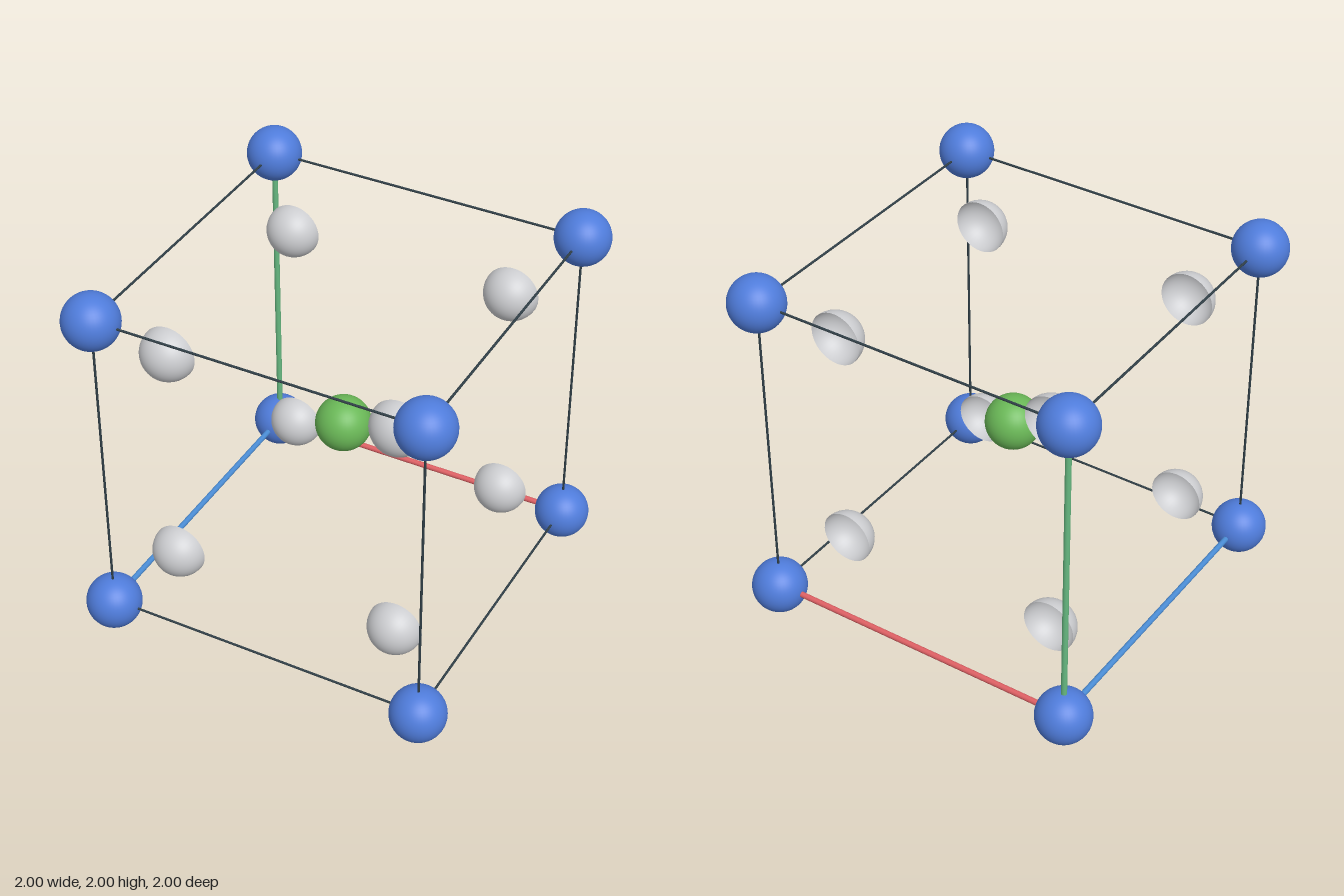
import * as THREE from 'three';

const HALF = 0.858;   // half the cube edge
const SHELL = 0.607;  // offset of the open half shells
const R = 0.142;      // ball radius

const mat = (name, color, side = THREE.FrontSide) => {
  const m = new THREE.MeshStandardMaterial({ color, side });
  m.name = name;
  return m;
};

export function createModel() {
  const model = new THREE.Group();
  model.name = 'cubicLattice';
  const blue = mat('cornerBlue', 0x4f7cdb);
  const green = mat('centreGreen', 0x6ab857);
  const grey = mat('shellGrey', 0xcccdd0, THREE.DoubleSide);
  const dark = mat('edgeDark', 0x2f3e46);
  const axisMats = [
    mat('axisRed', 0xde6064),
    mat('axisGreen', 0x66b880),
    mat('axisBlue', 0x4a8cd4),
  ];

  const add = (name, geometry, material, x, y, z) => {
    const mesh = new THREE.Mesh(geometry, material);
    mesh.name = name;
    mesh.position.set(x, y + 1, z);
    model.add(mesh);
    return mesh;
  };

  // Central ball
  const ball = new THREE.SphereGeometry(R, 40, 28);
  add('centreBall', ball, green, 0, 0, 0);

  // Corner balls, and hollow half shells with domes facing forward
  const shell = new THREE.SphereGeometry(R - 0.001, 40, 14, 0, Math.PI * 2, 0, Math.PI / 2);
  shell.rotateX(Math.PI / 2);
  for (const x of [-1, 1]) for (const y of [-1, 1]) for (const z of [-1, 1]) {
    add('cornerBall', ball, blue, x * HALF, y * HALF, z * HALF);
    add('halfShell', shell, grey, x * SHELL, y * SHELL, z * SHELL);
  }

  // Cube edges; the three that meet at the origin corner are thick coloured axes
  const thin = new THREE.CylinderGeometry(0.006, 0.006, HALF * 2, 12);
  const thick = new THREE.CylinderGeometry(0.015, 0.015, HALF * 2, 16);
  const axisNames = ['xAxisRod', 'yAxisRod', 'zAxisRod'];
  for (let axis = 0; axis < 3; axis++) {
    for (const a of [-1, 1]) for (const b of [-1, 1]) {
      const p = [0, 0, 0];
      p[(axis + 1) % 3] = a * HALF;
      p[(axis + 2) % 3] = b * HALF;
      const isAxis = a < 0 && b < 0;
      const rod = add(isAxis ? axisNames[axis] : 'edgeRod',
        isAxis ? thick : thin, isAxis ? axisMats[axis] : dark, ...p);
      if (axis === 0) rod.rotation.z = -Math.PI / 2;
      if (axis === 2) rod.rotation.x = Math.PI / 2;
    }
  }
  return model;
}
